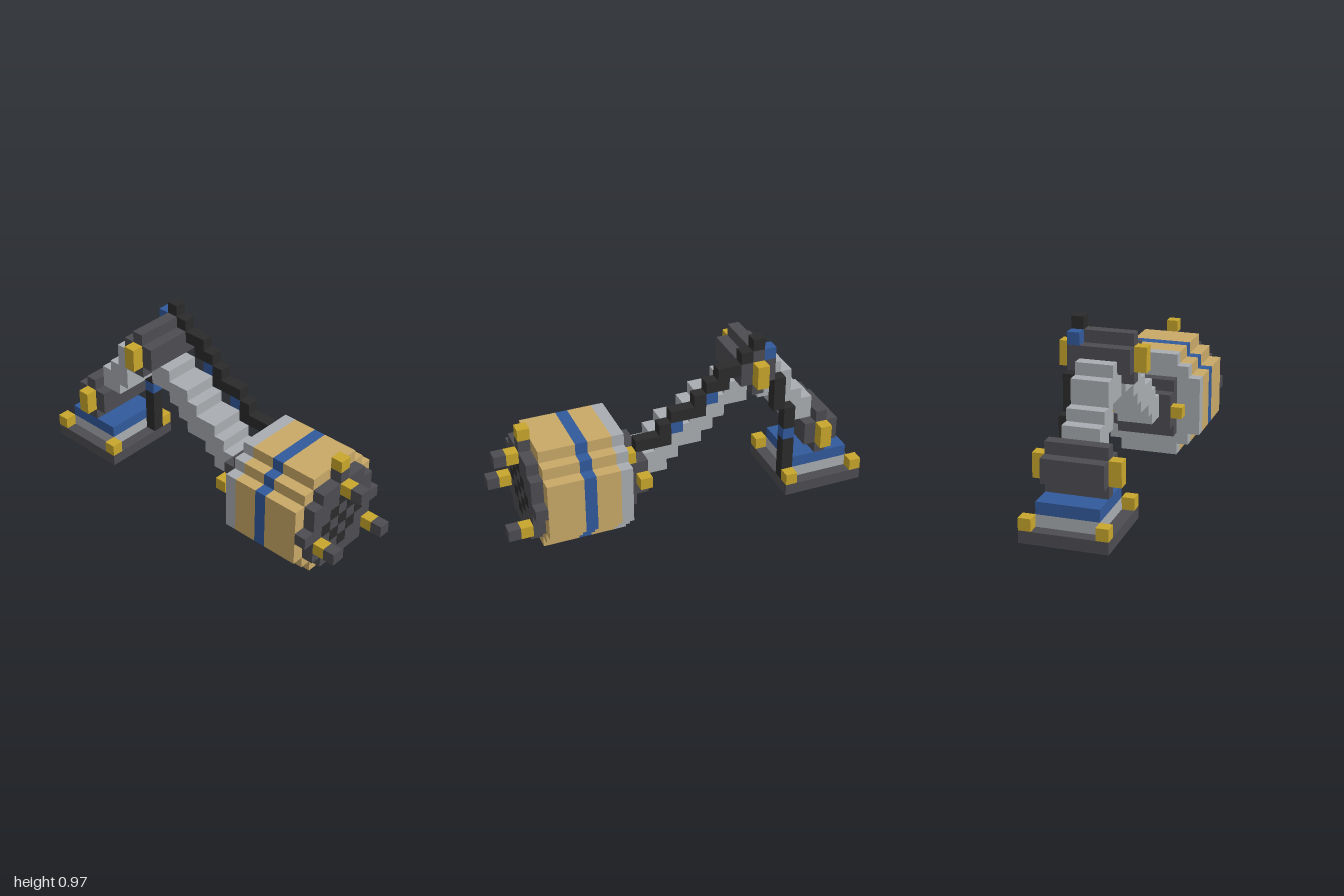
import * as THREE from 'three';

const U = 2 / 31; // one block; grid is 31 x 15 x 9 blocks

function mat(name, color) {
  const m = new THREE.MeshStandardMaterial({ color });
  m.name = name;
  return m;
}

export function createModel() {
  const root = new THREE.Group();
  root.name = 'articulatedMachine';
  const wood = mat('wood', 0xc9a968), gold = mat('gold', 0xc8a62c), dark = mat('darkGrey', 0x4d4c51);
  const grey = mat('lightGrey', 0xa9adb1), black = mat('black', 0x2b2b2b), blue = mat('blue', 0x325a9c);

  const group = (name) => {
    const g = new THREE.Group();
    g.name = name;
    root.add(g);
    return g;
  };
  // Box between grid lines [x0,x1] [y0,y1] [z0,z1]
  const box = (parent, name, m, x0, x1, y0, y1, z0, z1) => {
    const geo = new THREE.BoxGeometry((x1 - x0) * U, (y1 - y0) * U, (z1 - z0) * U);
    const mesh = new THREE.Mesh(geo, m);
    mesh.position.set(((x0 + x1) / 2 - 15.5) * U, ((y0 + y1) / 2) * U, ((z0 + z1) / 2 - 4.5) * U);
    mesh.name = name;
    parent.add(mesh);
  };
  // Stepped disc across x: rows of [y0, y1, half width]
  const disc = (parent, name, m, x0, x1, rows) =>
    rows.forEach(([y0, y1, w]) => box(parent, name, m, x0, x1, y0, y1, 4.5 - w, 4.5 + w));

  // Base plate with corner bolts and a two-layer pedestal
  const base = group('base');
  box(base, 'basePlate', dark, 0, 7, 0, 1, 1, 8);
  box(base, 'pedestal', grey, 1, 6, 1, 2, 2, 7);
  box(base, 'pedestalTop', blue, 1, 6, 2, 3, 2, 7);
  for (const x of [0, 6]) for (const z of [1, 7]) box(base, 'cornerBolt', gold, x, x + 1, 1, 2, z, z + 1);

  // Lower and upper hinge barrels with gold caps
  for (const [name, x, y] of [['lowerHinge', 2, 3], ['upperHinge', 8, 10]]) {
    const g = group(name);
    box(g, 'barrelSide', dark, x, x + 1, y + 1, y + 3, 2, 7);
    box(g, 'barrelCore', dark, x + 1, x + 2, y, y + 4, 2, 7);
    box(g, 'barrelSide', dark, x + 2, x + 3, y + 1, y + 3, 2, 7);
    for (const z of [1, 7]) box(g, 'hingeCap', gold, x + 1, x + 2, y + 1, y + 3, z, z + 1);
  }

  // Arms as stepped columns: [x, bottom, top]
  const arm = (name, cols) => {
    const g = group(name);
    cols.forEach(([x, y0, y1]) => box(g, 'armStep', grey, x, x + 1, y0, y1, 3, 6));
  };
  arm('rearArm', [[4, 6, 8], [5, 6, 9], [6, 7, 11], [7, 9, 12], [8, 9, 11]]);
  arm('foreArm', [[10, 9, 11], [11, 9, 11], [12, 8, 10], [13, 7, 10], [14, 6, 9],
    [15, 6, 8], [16, 5, 8], [17, 4, 7], [18, 4, 6]]);

  // Hose along the back: [x0, x1, y0, y1, material]
  const hose = group('hose');
  [[6, 7, 1, 5, black], [6, 7, 5, 6, blue], [6, 7, 6, 8, black], [7, 8, 8, 11, black],
    [8, 9, 13, 14, blue], [9, 10, 14, 15, black], [10, 11, 13, 14, black], [11, 13, 12, 13, black],
    [12, 14, 11, 12, black], [13, 14, 10, 11, blue], [14, 15, 9, 11, black], [15, 17, 9, 10, black],
    [16, 17, 8, 9, blue], [17, 18, 8, 9, black], [17, 20, 7, 8, black],
  ].forEach(([x0, x1, y0, y1, m]) => box(hose, 'hosePiece', m, x0, x1, y0, y1, 2, 3));

  // Wrist collar between arm and drum
  const wrist = group('wrist');
  box(wrist, 'wristBarrel', dark, 19, 20, 3, 6, 2, 7);
  box(wrist, 'collar', dark, 20, 21, 2, 6, 2, 7);
  box(wrist, 'collarTop', dark, 20, 21, 6, 7, 3, 7);
  box(wrist, 'hoseFitting', gold, 20, 21, 6, 7, 2, 3);
  for (const z of [1, 7]) box(wrist, 'wristPin', gold, 19, 20, 4, 5, z, z + 1);

  // Banded drum
  const drum = group('drum');
  const round = [[0, 1, 2.5], [1, 2, 3.5], [2, 7, 4.5], [7, 8, 3.5], [8, 9, 2.5]];
  disc(drum, 'flange', grey, 21, 22, round);
  disc(drum, 'drumBody', wood, 22, 24, round);
  disc(drum, 'drumBand', blue, 24, 25, round);
  disc(drum, 'drumBody', wood, 25, 28, round);

  // Face plate with a diamond of vents and three protruding studs
  disc(drum, 'facePlate', dark, 28, 29,
    [[0, 1, 0.5], [1, 2, 2.5], [2, 4, 3.5], [4, 5, 4.5], [5, 7, 3.5], [7, 8, 2.5], [8, 9, 0.5]]);
  for (let y = 2; y <= 6; y++) {
    for (let z = 2; z <= 6; z++) {
      if (Math.abs(y - 4) + Math.abs(z - 4) <= 2 && (y + z) % 2 === 0)
        box(drum, 'vent', black, 28.95, 29.03, y, y + 1, z, z + 1);
    }
  }
  box(drum, 'topStud', gold, 28, 29, 9, 10, 4, 5);
  for (const [y, z] of [[7, 4], [3, 7], [2, 1]]) {
    box(drum, 'studBase', gold, 29, 30, y, y + 1, z, z + 1);
    box(drum, 'studTip', dark, 30, 31, y, y + 1, z, z + 1);
  }
  return root;
}
